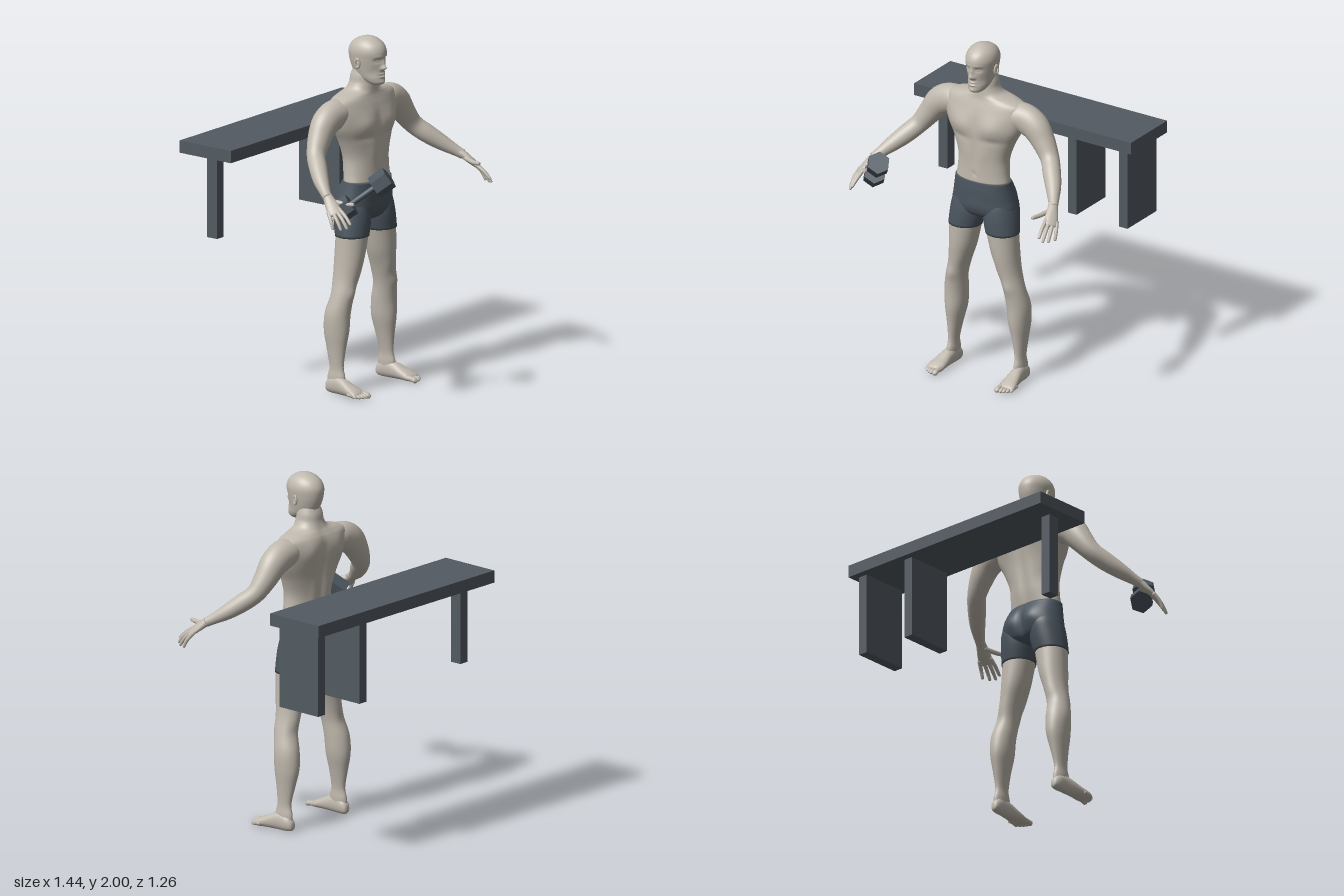
import * as THREE from 'three';

const makeMaterial = (name, color) => {
  const m = new THREE.MeshStandardMaterial({ color });
  m.name = name;
  return m;
};
const skin = makeMaterial('skin', 0xc0b9ae);
const slate = makeMaterial('slate', 0x4c5660);
const iron = makeMaterial('iron', 0x525a61);

const X = new THREE.Vector3(1, 0, 0), Y = new THREE.Vector3(0, 1, 0), Z = new THREE.Vector3(0, 0, 1);
const DOWN = new THREE.Vector3(0, -1, 0);

// Catmull-Rom sample of a list of equal-length rows
function sample(rows, u) {
  const i = Math.min(Math.floor(u), rows.length - 2), t = u - i;
  const at = k => rows[Math.max(0, Math.min(rows.length - 1, k))];
  const [p, q, r, s] = [at(i - 1), at(i), at(i + 1), at(i + 2)];
  return q.map((_, k) => 0.5 * (2 * q[k] + (r[k] - p[k]) * t
    + (2 * p[k] - 5 * q[k] + 4 * r[k] - s[k]) * t * t
    + (3 * q[k] - p[k] - 3 * r[k] + s[k]) * t * t * t));
}

// Smooth skin over elliptical cross-sections [x, y, z, wideRadius, deepRadius]
function loft(rows, { seg = 24, steps = 5, wide = X, axis = null, power = 2, shape = null, side = 1 } = {}) {
  const n = (rows.length - 1) * steps, rings = [], pos = [], index = [];
  for (let j = 0; j <= n; j++) rings.push(sample(rows, j / steps));
  const centre = j => new THREE.Vector3(...rings[Math.max(0, Math.min(n, j))].slice(0, 3));
  const push = v => {
    if (shape) shape(v);
    pos.push(v.x * side, v.y, v.z);
  };
  const round = q => Math.sign(q) * Math.pow(Math.abs(q), 2 / power);
  for (let j = 0; j <= n; j++) {
    const t = axis ? axis.clone() : centre(j + 1).sub(centre(j - 1)).normalize();
    const a = wide.clone().addScaledVector(t, -wide.dot(t)).normalize();
    const b = t.clone().cross(a);
    for (let i = 0; i < seg; i++) {
      const w = i / seg * Math.PI * 2;
      push(centre(j).addScaledVector(a, rings[j][3] * round(Math.cos(w)))
        .addScaledVector(b, rings[j][4] * round(Math.sin(w))));
    }
  }
  push(centre(0));
  push(centre(n));
  const tri = (a, b, c) => (side > 0 ? index.push(a, b, c) : index.push(a, c, b));
  const first = (n + 1) * seg, last = n * seg;
  for (let i = 0; i < seg; i++) {
    const k = (i + 1) % seg;
    for (let j = 0; j < n; j++) {
      const p = j * seg, q = p + seg;
      tri(p + i, p + k, q + i);
      tri(p + k, q + k, q + i);
    }
    tri(first, k, i);
    tri(first + 1, last + i, last + k);
  }
  const g = new THREE.BufferGeometry();
  g.setAttribute('position', new THREE.Float32BufferAttribute(pos, 3));
  g.setIndex(index);
  g.computeVertexNormals();
  return g;
}

// Horizontal sections given as [y, centreX, halfWidth, frontZ, backZ]
const level = rows => rows.map(([y, x, w, f, b]) => [x, y, (f + b) / 2, w, (f - b) / 2]);

// Symmetric muscle and face relief: [x, y, spreadX, spreadY, push along z]
const relief = (mid, front, back) => v => {
  let d = 0;
  for (const [x, y, sx, sy, k] of v.z > mid ? front : back)
    d += k * Math.exp(-(((Math.abs(v.x) - x) / sx) ** 2) - ((v.y - y) / sy) ** 2);
  v.z += d * Math.min(1, Math.abs(v.z - mid) / 0.04);
};

function add(parent, name, geometry, material) {
  const m = new THREE.Mesh(geometry, material);
  m.name = name;
  parent.add(m);
  return m;
}

function addTrunk(body) {
  const torso = level([
    [1.19, 0, .165, .208, .02], [1.25, 0, .157, .207, .01], [1.33, 0, .158, .206, .002],
    [1.42, 0, .19, .206, -.01], [1.5, 0, .232, .208, -.022], [1.57, 0, .255, .2, -.03],
    [1.62, 0, .258, .187, -.03], [1.655, 0, .245, .175, -.022], [1.678, 0, .19, .168, -.01],
    [1.7, 0, .11, .165, .002], [1.735, 0, .08, .162, .014], [1.78, 0, .072, .155, .022], [1.84, 0, .055, .14, .05]]);
  add(body, 'torso', loft(torso, {
    seg: 72, steps: 6, axis: Y, power: 2.1,
    shape: relief(.09,
      [[.1, 1.52, .07, .055, .015], [0, 1.53, .02, .07, -.006], [0, 1.33, .02, .1, -.004],
        [.05, 1.36, .03, .06, .004], [0, 1.235, .01, .012, -.008], [.1, 1.445, .06, .016, -.006]],
      [[0, 1.45, .025, .2, .014], [.11, 1.58, .06, .07, -.015], [.05, 1.32, .03, .1, -.006]]),
  }), skin);

  const pelvis = level([
    [1.19, 0, .167, .21, .018], [1.14, 0, .177, .212, -.008], [1.08, 0, .19, .208, -.022],
    [1.03, 0, .199, .204, -.018], [.99, 0, .188, .19, .0], [.965, 0, .1, .16, .04], [.96, 0, .02, .12, .08]]);
  add(body, 'shortsHips', loft(pelvis, {
    seg: 64, axis: DOWN, power: 2.4,
    shape: relief(.09, [[0, 1.05, .04, .05, .006]],
      [[.085, 1.09, .06, .06, -.016], [0, 1.06, .015, .07, .02]]),
  }), slate);
}

function addHead(body) {
  const head = level([
    [1.732, 0, .026, .21, .15], [1.745, 0, .044, .228, .12], [1.77, 0, .059, .23, .07],
    [1.8, 0, .068, .227, .035], [1.84, 0, .077, .227, .016], [1.88, 0, .084, .232, .006],
    [1.92, 0, .087, .235, .005], [1.955, 0, .077, .22, .022], [1.98, 0, .056, .19, .053],
    [1.995, 0, .028, .158, .092], [2, 0, .004, .13, .122]]);
  add(body, 'head', loft(head, {
    seg: 96, steps: 8, axis: Y,
    shape: relief(.13,
      [[0, 1.833, .014, .014, .024], [0, 1.858, .009, .022, .012], [.014, 1.828, .008, .008, .008],
        [.034, 1.875, .017, .012, -.013], [.034, 1.874, .01, .006, .008], [.03, 1.898, .025, .008, .003],
        [0, 1.797, .022, .005, .008], [0, 1.782, .02, .005, .008], [0, 1.79, .024, .003, -.004],
        [0, 1.752, .02, .012, .005], [.05, 1.81, .018, .025, -.005]], []),
  }), skin);
  for (const s of [1, -1]) {
    const ear = add(body, 'ear', new THREE.TorusGeometry(.018, .008, 8, 20), skin);
    ear.scale.set(.7, 1.25, .9);
    ear.position.set(s * .087, 1.857, .117);
    ear.rotation.set(0, s * 1.25, 0);
    const inner = add(body, 'innerEar', new THREE.SphereGeometry(1, 12, 10), skin);
    inner.scale.set(.008, .022, .012);
    inner.position.set(s * .083, 1.855, .118);
  }
}

function addArm(body, side) {
  const arm = new THREE.Group();
  arm.name = side > 0 ? 'leftArm' : 'rightArm';
  body.add(arm);
  add(arm, 'armLimb', loft([
    [.11, 1.6, .075, .05, .06], [.19, 1.595, .073, .076, .078], [.26, 1.58, .07, .086, .076],
    [.32, 1.545, .07, .081, .073], [.375, 1.475, .077, .067, .064], [.43, 1.4, .1, .054, .052],
    [.48, 1.345, .155, .052, .05], [.53, 1.295, .215, .044, .043], [.575, 1.25, .28, .031, .03],
    [.597, 1.228, .315, .027, .025]],
  { seg: 32, wide: new THREE.Vector3(.7, .7, 0), side }), skin);

  // Hand: palm, four fingers and a thumb
  const across = new THREE.Vector3(.045, -.015, -.04);
  add(arm, 'palm', loft([
    [.58, 1.244, .288, .026, .025], [.597, 1.226, .32, .029, .023], [.612, 1.2, .352, .036, .02],
    [.627, 1.174, .383, .038, .016], [.636, 1.158, .402, .032, .011], [.638, 1.154, .406, .004, .003]],
  { wide: across, side }), skin);
  const fingers = [
    [[.604, 1.185, .395], [.611, 1.152, .447], [.618, 1.113, .489]],
    [[.62, 1.178, .39], [.633, 1.135, .446], [.637, 1.092, .48]],
    [[.637, 1.172, .378], [.651, 1.127, .425], [.656, 1.084, .453]],
    [[.65, 1.17, .36], [.667, 1.127, .393], [.673, 1.085, .412]],
    [[.592, 1.215, .33], [.568, 1.205, .405], [.556, 1.207, .46]]];
  fingers.forEach(([a, b, c], i) => {
    const r = i === 4 ? .013 : .0105;
    const end = c.map((v, k) => v + (c[k] - b[k]) * .08);
    add(arm, i === 4 ? 'thumb' : 'finger', loft([
      [...a, r * 1.1, r * 1.1], [...b, r, r], [...c, r * .75, r * .75], [...end, .001, .001]],
    { seg: 10, steps: 4, wide: across, side }), skin);
  });
}

function addLeg(body, side) {
  const leg = new THREE.Group();
  leg.name = side > 0 ? 'leftLeg' : 'rightLeg';
  body.add(leg);
  const upper = level([
    [1.13, .1, .055, .165, .03], [1.06, .104, .088, .19, -.012], [.98, .107, .102, .202, -.008],
    [.885, .122, .096, .202, .013]]);
  const lower = level([
    [.9, .12, .092, .199, .016], [.76, .14, .077, .19, .015], [.65, .165, .062, .172, .02],
    [.55, .19, .06, .16, .02], [.45, .205, .065, .148, -.004], [.35, .209, .058, .144, -.01],
    [.25, .215, .04, .13, .01], [.15, .22, .026, .122, .03], [.09, .222, .028, .135, .018],
    [.03, .224, .026, .12, .02]]);
  add(leg, 'shortsLeg', loft(upper, { seg: 40, axis: DOWN, side }), slate);
  add(leg, 'legLimb', loft(lower, {
    seg: 40, axis: DOWN, side,
    shape: relief(.08, [[.188, .57, .03, .03, .008], [.12, .66, .03, .05, .006]], [[.2, .56, .03, .04, .006]]),
  }), skin);

  // Foot with five toes, flat on the ground
  const ground = v => { v.y = Math.max(v.y, 0); };
  add(leg, 'foot', loft([
    [.222, .03, .008, .004, .006], [.222, .034, .014, .02, .026], [.224, .044, .04, .031, .044],
    [.226, .05, .09, .033, .051], [.23, .044, .14, .038, .045], [.234, .033, .19, .045, .033],
    [.238, .024, .23, .05, .025], [.24, .018, .255, .045, .016], [.24, .016, .263, .01, .005]],
  { axis: Z, power: 2.2, shape: ground, side }), skin);
  [[.205, .016, .303], [.229, .0115, .3], [.247, .011, .294], [.264, .0105, .283], [.279, .01, .266]]
    .forEach(([x, r, tip]) => add(leg, 'toe', loft([
      [x, .022, tip - .065, r, r], [x, .02, tip - .035, r * .9, r * .9],
      [x, .015, tip - .012, r, r * .95], [x, .013, tip, .002, .002]],
    { seg: 12, steps: 4, axis: Z, shape: ground, side }), skin));
}

function createDumbbell() {
  const g = new THREE.Group();
  g.name = 'dumbbell';
  const hex = new THREE.CylinderGeometry(.064, .064, .1, 6, 1, false, Math.PI / 6).toNonIndexed();
  hex.computeVertexNormals();
  for (const s of [1, -1]) add(g, 'weight', hex, slate).position.y = s * .128;
  add(g, 'grip', new THREE.CylinderGeometry(.016, .016, .2, 16), slate);
  g.position.set(-.475, 1.243, .465);
  g.quaternion.setFromUnitVectors(Y, new THREE.Vector3(.13, .15, .16).normalize());
  return g;
}

function createBench() {
  const g = new THREE.Group();
  g.name = 'bench';
  const box = (name, w, h, d, x, y, z) =>
    add(g, name, new THREE.BoxGeometry(w, h, d), iron).position.set(x, y, z);
  box('benchTop', 1.436, .07, .36, 0, 1.39, -.452);
  box('panelLeg', .056, .475, .288, .31, 1.122, -.446);
  box('panelLeg', .056, .475, .288, .647, 1.122, -.446);
  box('postLeg', .058, .475, .07, -.625, 1.122, -.455);
  return g;
}

export function createModel() {
  const model = new THREE.Group();
  model.name = 'athleteWithBench';
  const body = new THREE.Group();
  body.name = 'athlete';
  addTrunk(body);
  addHead(body);
  for (const side of [1, -1]) {
    addArm(body, side);
    addLeg(body, side);
  }
  model.add(body, createDumbbell(), createBench());
  return model;
}
